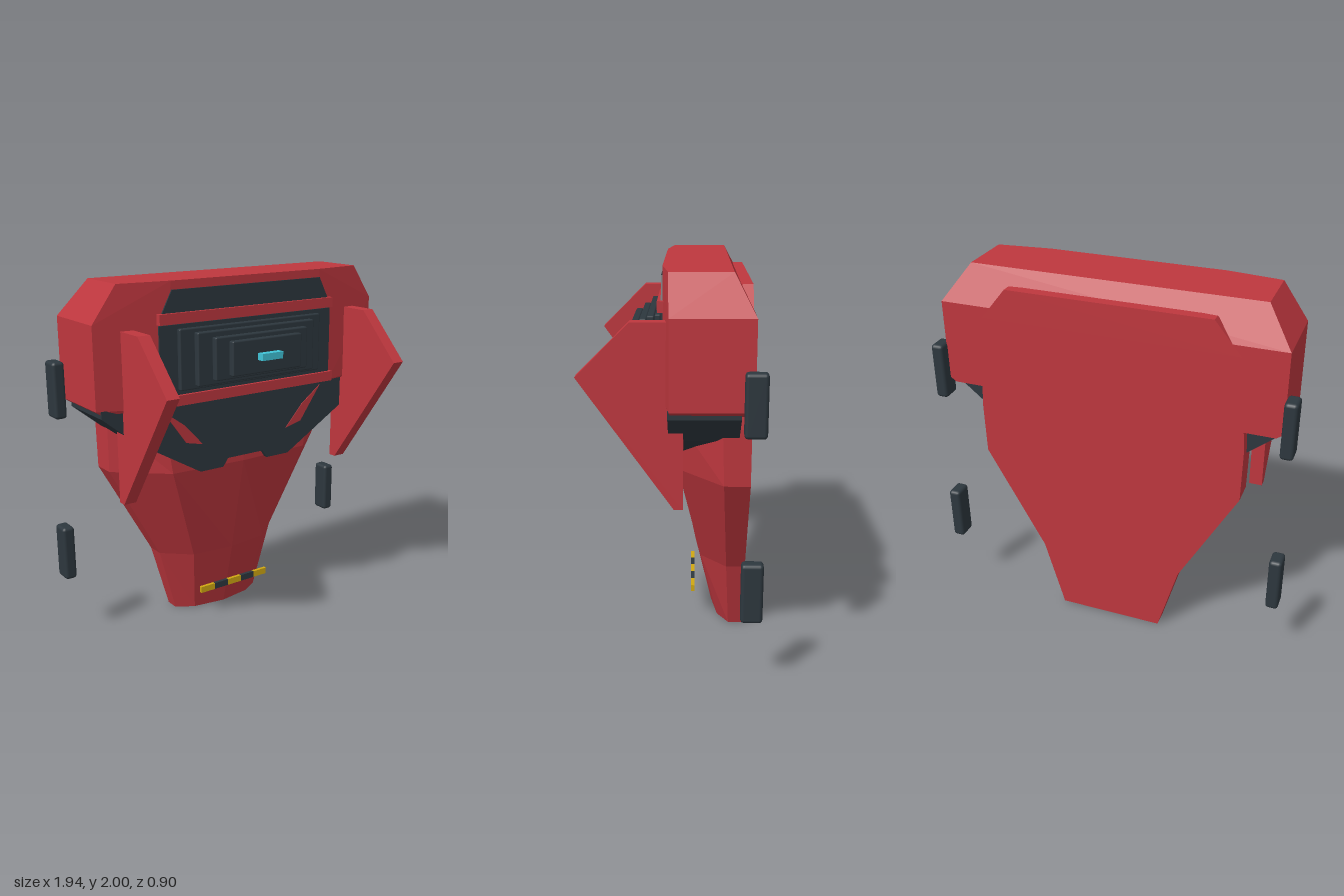
import * as THREE from 'three';
import { RoundedBoxGeometry } from 'three/addons/geometries/RoundedBoxGeometry.js';
import { ConvexGeometry } from 'three/addons/geometries/ConvexGeometry.js';

export function createModel() {
  const root = new THREE.Group();
  const material = (name, color) => {
    const m = new THREE.MeshStandardMaterial({ color });
    m.name = name;
    return m;
  };
  const red = material('red armour', 0xbe373e);
  const dark = material('dark slate', 0x2d373e);
  const cyan = material('cyan light', 0x40c4d8);
  const yellow = material('hazard yellow', 0xd0a812);

  const add = (name, geometry, mat, x = 0, y = 0, z = 0) => {
    const mesh = new THREE.Mesh(geometry, mat);
    mesh.name = name;
    mesh.position.set(x, y, z);
    root.add(mesh);
    return mesh;
  };
  // Box given by its bounds
  const block = (name, mat, x0, x1, y0, y1, z0, z1) =>
    add(name, new THREE.BoxGeometry(x1 - x0, y1 - y0, z1 - z0), mat,
      (x0 + x1) / 2, (y0 + y1) / 2, (z0 + z1) / 2);
  const outline = (pts) => new THREE.Shape(pts.map(([x, y]) => new THREE.Vector2(x, y)));
  const plate = (name, mat, pts, z0, z1) =>
    add(name, new THREE.ExtrudeGeometry(outline(pts), { depth: z1 - z0, bevelEnabled: false }), mat, 0, 0, z0);
  // Completes a half outline (listed from +x side) by mirroring it
  const mirrored = (half) => [...half, ...half.map(([x, y]) => [-x, y]).reverse()];

  // Tapered hull: y, half width, inner half width, side z, inner z, centre z
  const levels = [
    [0, 0.29, 0.19, -0.31, -0.25, -0.22],
    [0.39, 0.4, 0.25, -0.29, -0.155, -0.125],
    [0.96, 0.715, 0.45, -0.26, -0.03, -0.005],
    [1.25, 0.72, 0.5, -0.25, -0.02, -0.005],
    [1.75, 0.68, 0.5, -0.25, -0.04, -0.03],
    [1.92, 0.54, 0.45, -0.34, -0.33, -0.33],
  ];
  const back = -0.39;
  const rings = levels.map(([y, w, inner, zs, zi, zc]) => [
    [w, y, back], [w, y, zs], [inner, y, zi], [0, y, zc],
    [-inner, y, zi], [-w, y, zs], [-w, y, back],
  ]);
  const pos = [];
  const tri = (a, b, c) => pos.push(...a, ...b, ...c);
  const n = rings[0].length;
  for (let i = 0; i < rings.length - 1; i++) {
    for (let j = 0; j < n; j++) {
      const k = (j + 1) % n;
      const [a, b, c, d] = [rings[i][j], rings[i][k], rings[i + 1][k], rings[i + 1][j]];
      tri(a, c, b);
      tri(a, d, c);
    }
  }
  const top = rings[rings.length - 1];
  for (let j = 1; j < n - 1; j++) {
    tri(rings[0][0], rings[0][j], rings[0][j + 1]);
    tri(top[0], top[j + 1], top[j]);
  }
  const hull = new THREE.BufferGeometry();
  hull.setAttribute('position', new THREE.Float32BufferAttribute(pos, 3));
  hull.computeVertexNormals();
  add('taperedHull', hull, red);

  // Chamfered upper body
  const corners = [
    [0.77, 2, 0.01], [0.77, 2, -0.29], [0.905, 1.81, 0.005], [0.905, 1.81, back],
    [0.905, 1.38, 0.005], [0.905, 1.38, back], [0.87, 1.355, 0], [0.87, 1.355, back],
    [0.48, 2, 0.045], [0.57, 1.36, 0.045],
  ];
  add('upperBody', new ConvexGeometry(corners.flatMap(([x, y, z]) =>
    [new THREE.Vector3(x, y, z), new THREE.Vector3(-x, y, z)])), red);

  // Dark chevron under the upper body, with red slivers on its face
  plate('chevron', dark, mirrored([
    [0.12, 1.0], [0.15, 0.955], [0.3, 0.955], [0.69, 1.185], [0.88, 1.34], [0.88, 1.38],
  ]), -0.33, 0.012);
  for (const s of [1, -1]) {
    plate('chevronInlay', red, [[s * 0.53, 1.33], [s * 0.4, 1.235], [s * 0.285, 1.11], [s * 0.39, 1.135]], 0.011, 0.016);
  }

  // Front panels and red frame bars
  plate('upperPanel', dark, [[-0.54, 1.84], [0.54, 1.84], [0.48, 1.955], [-0.48, 1.955]], 0.043, 0.052);
  block('mainPanel', dark, -0.56, 0.56, 1.41, 1.78, 0.043, 0.052);
  block('upperFrameBar', red, -0.565, 0.565, 1.785, 1.84, 0.02, 0.07);
  block('lowerFrameBar', red, -0.575, 0.575, 1.36, 1.415, 0.02, 0.07);

  // Stepped central emitter
  [[0.46, 0.16, 0.05, 0.086], [0.38, 0.14, 0.086, 0.13], [0.3, 0.113, 0.13, 0.173], [0.225, 0.092, 0.173, 0.217]]
    .forEach(([w, h, z0, z1], i) => {
      // A narrow neck sits behind each slightly thinner slab
      if (i) block('emitterNeck', dark, -w + 0.02, w - 0.02, 1.6 - h + 0.02, 1.6 + h - 0.02, z0, z0 + 0.01);
      add('emitterStep', new RoundedBoxGeometry(w * 2, h * 2, z1 - z0 - 0.005, 1, 0.008), dark,
        0, 1.6, (z0 + z1 + 0.005) / 2);
    });
  block('emitterLight', cyan, -0.067, 0.067, 1.58, 1.617, 0.215, 0.258);

  // Side fins and corner pads
  const finProfile = outline([[-0.06, 0.855], [-0.015, 0.855], [0.45, 1.51], [0.19, 1.77], [-0.06, 1.77]]);
  for (const s of [1, -1]) {
    const fin = new THREE.ExtrudeGeometry(finProfile, { depth: 0.07, bevelEnabled: false });
    fin.rotateY(-Math.PI / 2); // profile x becomes z, depth becomes -x
    add('sideFin', fin, red, s * 0.725 + 0.035, 0, 0);
    for (const y of [0.505, 1.425]) {
      add('cornerPad', new RoundedBoxGeometry(0.068, 0.305, 0.107, 2, 0.018), dark, s * 0.935, y, -0.392);
    }
  }

  // Hazard strip
  for (let i = 0; i < 5; i++) {
    const x = -0.235 + i * 0.094;
    block('hazardSegment', i % 2 ? dark : yellow, x, x + 0.094, 0.16, 0.197, -0.12, -0.101);
  }
  return root;
}
